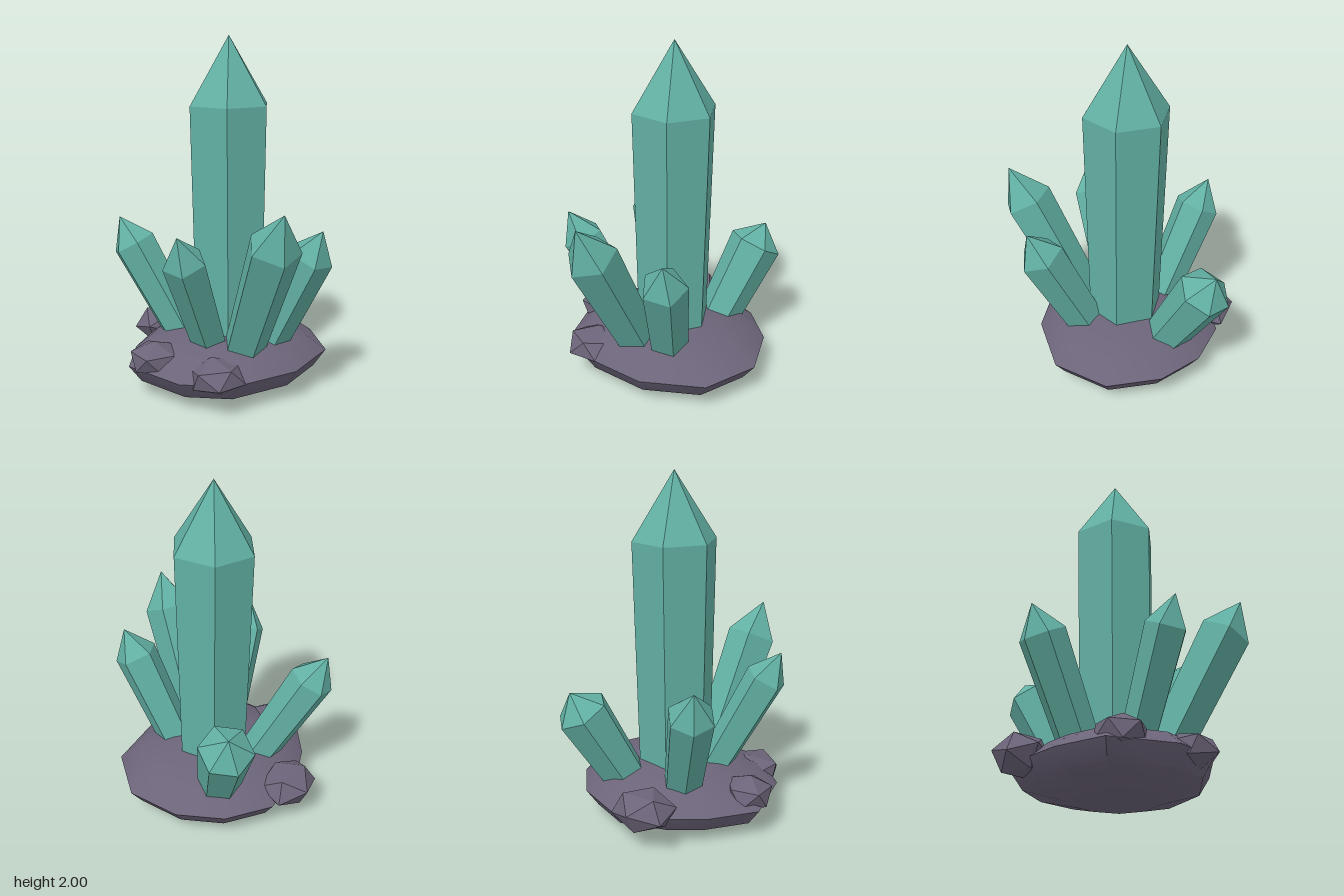
import * as THREE from 'three';
import { toCreasedNormals } from 'three/addons/utils/BufferGeometryUtils.js';

const V = (p) => new THREE.Vector3(...p);

// Faceted crystal: tapered prism with a pointed tip, one shoulder corner turned towards a given point
function crystal(name, material, { base, tip, corner, sides, radius, baseRadius, shoulder, sink }) {
  const foot = V(base), axis = V(tip).sub(foot);
  const length = axis.length();
  axis.normalize();
  const profile = [[0, -sink], [baseRadius, -sink], [radius, length * shoulder], [0, length]];
  const geometry = new THREE.LatheGeometry(profile.map(([x, y]) => new THREE.Vector2(x, y)), sides).toNonIndexed();
  const out = V(corner).sub(foot);
  out.addScaledVector(axis, -out.dot(axis)).normalize();
  const side = new THREE.Vector3().crossVectors(axis, out);
  geometry.applyMatrix4(new THREE.Matrix4().makeBasis(side, axis, out).setPosition(foot));
  geometry.computeVertexNormals();
  const mesh = new THREE.Mesh(geometry, material);
  mesh.name = name;
  return mesh;
}

// Rock slab: a flattened profile swept around an irregular outline
function rockSlab(material) {
  const outline = [[0.03, 0.52], [0.4, 0.44], [0.6, 0.16], [0.57, -0.16], [0.42, -0.4], [0.17, -0.55],
    [-0.15, -0.5], [-0.35, -0.4], [-0.57, -0.2], [-0.54, 0.18], [-0.36, 0.41]];
  const profile = [[0, 0], [0.45, 0.015], [0.88, 0.08], [1, 0.18], [0.8, 0.27], [0.45, 0.32], [0, 0.335]];
  const geometry = new THREE.LatheGeometry(profile.map(([x, y]) => new THREE.Vector2(x, y)), outline.length);
  const pos = geometry.attributes.position;
  for (let i = 0; i < pos.count; i++) {
    const [ox, oz] = outline[Math.floor(i / profile.length) % outline.length];
    const [s, y] = profile[i % profile.length];
    pos.setXYZ(i, ox * s, y, oz * s);
  }
  const mesh = new THREE.Mesh(toCreasedNormals(geometry, 0.75), material);
  mesh.name = 'rockBase';
  return mesh;
}

// Small faceted stone
function stone(name, material, center, size, turn) {
  const geometry = new THREE.IcosahedronGeometry(1, 0);
  geometry.rotateX(turn).rotateY(turn * 2.3);
  geometry.scale(...size).translate(...center);
  geometry.computeVertexNormals();
  const mesh = new THREE.Mesh(geometry, material);
  mesh.name = name;
  return mesh;
}

export function createModel() {
  const teal = new THREE.MeshStandardMaterial({ color: 0x62b0a3 });
  teal.name = 'teal crystal';
  const rock = new THREE.MeshStandardMaterial({ color: 0x6c6479 });
  rock.name = 'purple grey rock';

  const group = new THREE.Group();
  group.name = 'crystalCluster';

  // Rock base and the stones around its rim
  group.add(
    rockSlab(rock),
    stone('backStone', rock, [-0.02, 0.22, -0.52], [0.19, 0.12, 0.16], 0.4),
    stone('sideStone', rock, [-0.46, 0.23, -0.1], [0.15, 0.105, 0.15], 0.9),
    stone('frontStone', rock, [-0.35, 0.2, 0.28], [0.17, 0.1, 0.17], 1.3),
  );

  // Tall central crystal
  group.add(crystal('mainCrystal', teal, {
    base: [0.04, 0.3, 0], tip: [0.04, 2, -0.01], corner: [0.27, 1.62, 0.07],
    sides: 6, radius: 0.243, baseRadius: 0.215, shoulder: 0.776, sink: 0.1,
  }));

  // Leaning crystals around it
  const leaning = [
    ['frontRightCrystal', [-0.1, 0.3, 0.25], [-0.25, 1.14, 0.655], [-0.25, 1.02, 0.435], 5, 0.148, 0.12],
    ['sideCrystal', [-0.21, 0.33, 0.07], [-0.54, 0.99, 0.175], [-0.36, 0.89, 0.15], 5, 0.122, 0.1],
    ['frontLeftCrystal', [0.11, 0.3, 0.26], [0.19, 0.96, 0.56], [0.175, 0.84, 0.36], 5, 0.132, 0.11],
    ['backLeftCrystal', [0.28, 0.3, -0.25], [0.47, 0.8, -0.46], [0.28, 0.74, -0.41], 6, 0.157, 0.125],
    ['backRightCrystal', [-0.13, 0.3, -0.25], [-0.33, 0.95, -0.545], [-0.35, 0.83, -0.37], 6, 0.132, 0.112],
  ];
  for (const [name, base, tip, corner, sides, radius, baseRadius] of leaning) {
    group.add(crystal(name, teal, { base, tip, corner, sides, radius, baseRadius, shoulder: 0.765, sink: 0.12 }));
  }
  return group;
}
